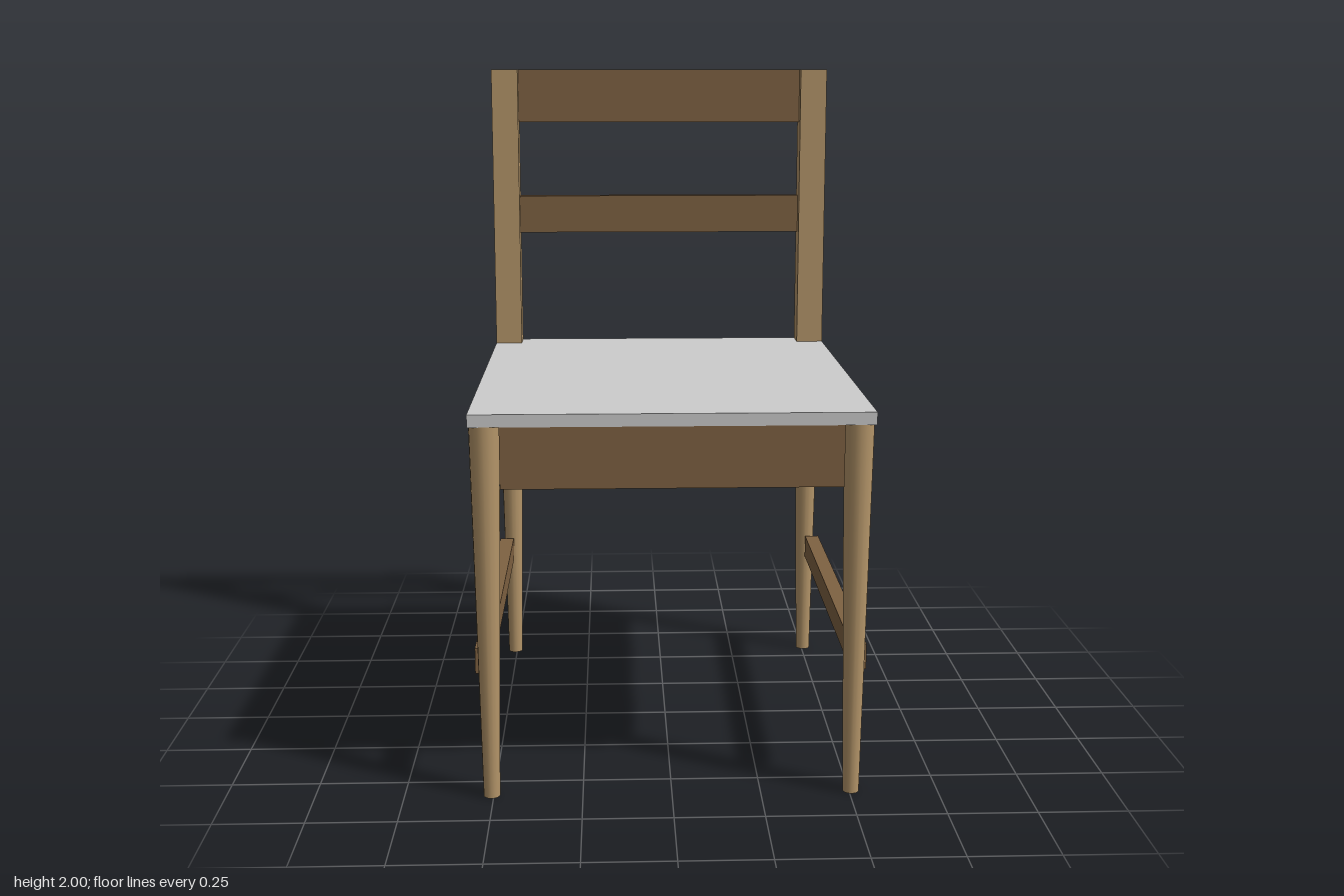
import * as THREE from 'three';

export function createModel() {
  const chair = new THREE.Group();
  chair.name = 'chair';

  const mat = (name, color) => {
    const m = new THREE.MeshStandardMaterial({ color });
    m.name = name;
    return m;
  };
  const lightWood = mat('light wood', 0xb5966a);
  const darkWood = mat('dark wood', 0x7f6242);
  const seatGrey = mat('seat grey', 0xcccccc);

  // Overall half width and half depth, post size, board thickness
  const W = 0.548, D = 0.633, P = 0.085, T = 0.045;
  const legX = W - P / 2, legZ = D - P / 2;
  const seatBottom = 1.065, seatTop = 1.1;

  const add = (name, geometry, material, x, y, z) => {
    const mesh = new THREE.Mesh(geometry, material);
    mesh.name = name;
    mesh.position.set(x, y, z);
    chair.add(mesh);
  };
  // Box between two heights
  const board = (name, material, w, y0, y1, d, x, z) =>
    add(name, new THREE.BoxGeometry(w, y1 - y0, d), material, x, (y0 + y1) / 2, z);

  // Seat panel
  board('seat', seatGrey, 2 * W, seatBottom, seatTop, 2 * D, 0, 0);

  const spanX = 2 * (W - P), spanZ = 2 * (D - P);
  for (const s of [-1, 1]) {
    const side = s > 0 ? 'left' : 'right';
    const end = s > 0 ? 'front' : 'back';

    // Tapered round legs
    for (const e of [-1, 1]) {
      const leg = new THREE.CylinderGeometry(P / 2, 0.023, seatBottom, 16);
      add(`${side}${e > 0 ? 'Front' : 'Back'}Leg`, leg, lightWood, s * legX, seatBottom / 2, e * legZ);
    }

    // Square back posts
    board(`${side}BackPost`, lightWood, P, seatTop, 2, P, s * legX, -legZ);

    // Aprons under the seat and low side stretchers, flush with the outside
    board(`${end}Apron`, darkWood, spanX, 0.895, seatBottom, T, 0, s * (D - T / 2));
    board(`${side}Apron`, darkWood, T, 0.895, seatBottom, spanZ, s * (W - T / 2), 0);
    board(`${side}Stretcher`, darkWood, T, 0.345, 0.418, spanZ, s * (W - T / 2), 0);
  }

  // Backrest rails
  board('topRail', darkWood, spanX, 1.83, 2, T, 0, -D + T / 2);
  board('middleRail', darkWood, spanX, 1.467, 1.588, T, 0, -D + T / 2);

  return chair;
}
